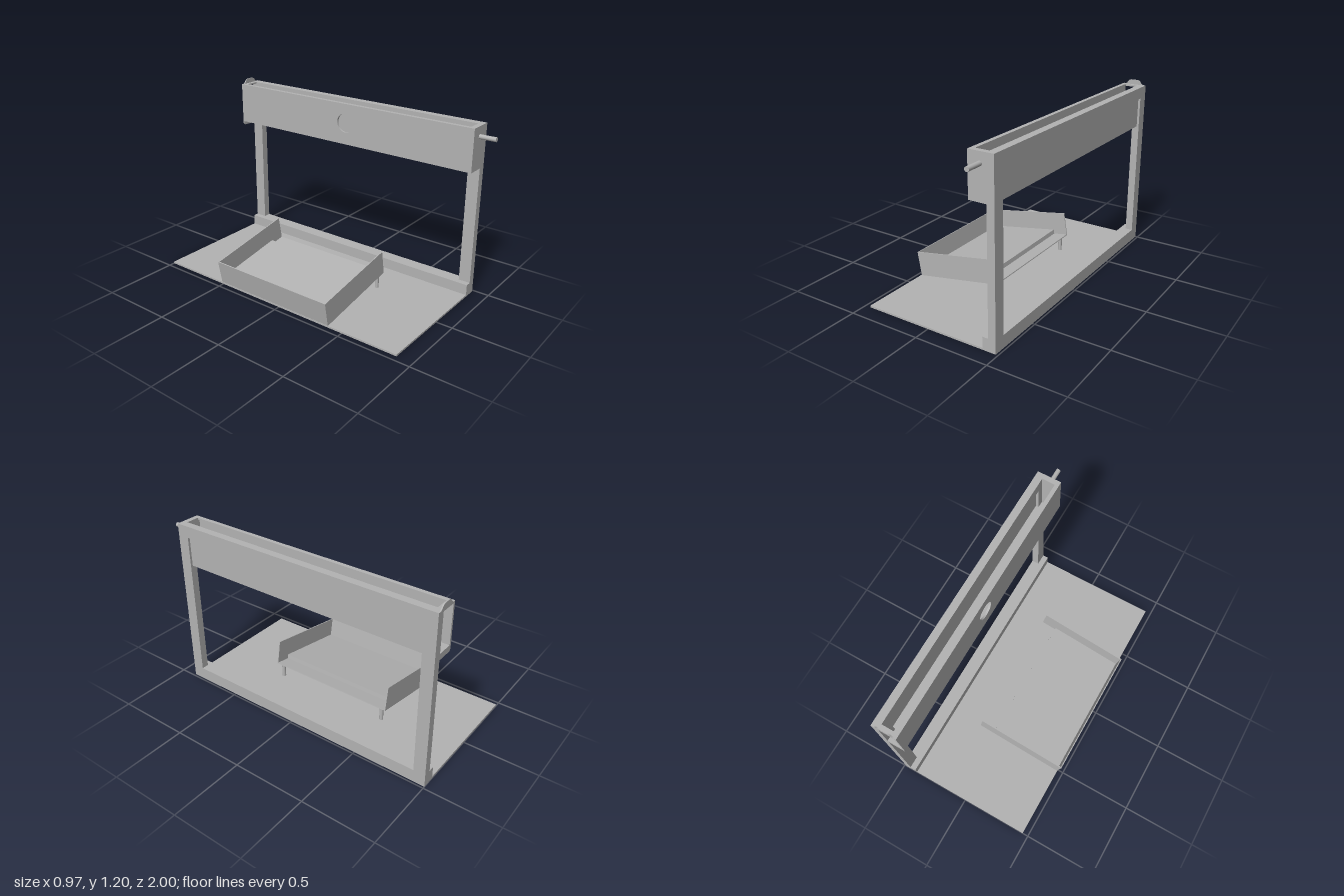
import * as THREE from 'three';

const grey = new THREE.MeshStandardMaterial({ color: 0xb3b3b3 });
grey.name = 'plain grey';

function mesh(name, geometry, parent) {
  const m = new THREE.Mesh(geometry, grey);
  m.name = name;
  parent.add(m);
  return m;
}

// Box given by its limits on each axis
function block(name, parent, x0, x1, y0, y1, z0, z1) {
  const m = mesh(name, new THREE.BoxGeometry(x1 - x0, y1 - y0, z1 - z0), parent);
  m.position.set((x0 + x1) / 2, (y0 + y1) / 2, (z0 + z1) / 2);
  return m;
}

function rect(Type, x0, x1, y0, y1) {
  return new Type().moveTo(x0, y0).lineTo(x1, y0).lineTo(x1, y1).lineTo(x0, y1).closePath();
}

const extrude = (shape, depth) =>
  new THREE.ExtrudeGeometry(shape, { depth, bevelEnabled: false, curveSegments: 20 });

// Plate drawn in (-z, y) and extruded towards +x
function sidePlate(name, parent, shape, x, depth) {
  const m = mesh(name, extrude(shape, depth), parent);
  m.rotation.y = Math.PI / 2;
  m.position.x = x;
  return m;
}

export function createModel() {
  const model = new THREE.Group();
  model.name = 'feederStand';
  const zBack = -1, zFront = 0.89;

  // Base and upright frame
  block('basePlate', model, -0.46, 0.485, 0, 0.012, zBack, zFront);
  block('sill', model, 0.395, 0.436, 0.01, 0.085, zBack, zFront);
  const frame = rect(THREE.Shape, -zFront, -zBack, 0, 1.168);
  frame.holes.push(rect(THREE.Path, -0.81, 0.92, 0.085, 1.09));
  sidePlate('uprightFrame', model, frame, 0.435, 0.05);

  // Hopper, open at the top and at the back end
  const hopper = new THREE.Group();
  hopper.name = 'hopper';
  model.add(hopper);
  const wall = rect(THREE.Shape, -zFront, -zBack, 0.887, 1.168);
  wall.holes.push(new THREE.Path().absarc(0.055, 1.035, 0.065, 0, Math.PI * 2, true));
  sidePlate('hopperOuterWall', hopper, wall, 0.318, 0.014);
  block('hopperInnerWall', hopper, 0.455, 0.47, 0.887, 1.165, -0.995, 0.885);
  block('hopperFloor', hopper, 0.33, 0.465, 0.887, 0.899, zBack, 0.885);
  block('hopperEndWall', hopper, 0.33, 0.44, 0.887, 1.168, 0.855, zFront);
  block('hopperTopLip', hopper, 0.33, 0.345, 1.156, 1.168, zBack, zFront);
  block('hopperBackLip', hopper, 0.34, 0.44, 1.156, 1.168, zBack, -0.965);

  // Thin end frame with a rounded tab on top
  const end = new THREE.Shape()
    .moveTo(0.338, 0.858).lineTo(0.485, 0.858).lineTo(0.485, 1.167).lineTo(0.47, 1.167)
    .bezierCurveTo(0.445, 1.17, 0.45, 1.2, 0.415, 1.2)
    .lineTo(0.38, 1.2)
    .bezierCurveTo(0.35, 1.2, 0.355, 1.17, 0.33, 1.167)
    .lineTo(0.318, 1.167).lineTo(0.318, 0.878)
    .quadraticCurveTo(0.318, 0.858, 0.338, 0.858);
  end.holes.push(rect(THREE.Path, 0.332, 0.455, 0.89, 1.156));
  mesh('endFrame', extrude(end, 0.008), hopper).position.z = zBack;

  // Rod on the front end
  const rod = mesh('rod', new THREE.CylinderGeometry(0.015, 0.015, 0.13, 24), model);
  rod.rotation.x = Math.PI / 2;
  rod.position.set(0.395, 1.102, 0.935);

  // Tilted tray, built flat from its lower corner
  const tray = new THREE.Group();
  tray.name = 'tray';
  tray.position.set(-0.458, 0.01, -0.0575);
  tray.rotation.z = THREE.MathUtils.degToRad(9.9);
  model.add(tray);
  const length = 0.626, height = 0.167, half = 0.4525, t = 0.007;
  for (const s of [-1, 1]) {
    const z = s * (half - t / 2);
    block('traySide', tray, 0, length, 0, height, z - t / 2, z + t / 2);
  }
  block('trayEnd', tray, 0, t, 0, height, -half + t, half - t);
  block('trayFloor', tray, t, length, 0, t, -half + t, half - t);
  block('trayRaisedFloor', tray, t, 0.522, t, 0.037, -half + t, half - t);

  // Legs under the raised end of the tray
  for (const z of [-0.463, 0.363]) {
    const leg = mesh('trayLeg', new THREE.CylinderGeometry(0.013, 0.013, 0.102, 24), model);
    leg.position.set(0.127, 0.06, z);
  }
  return model;
}
